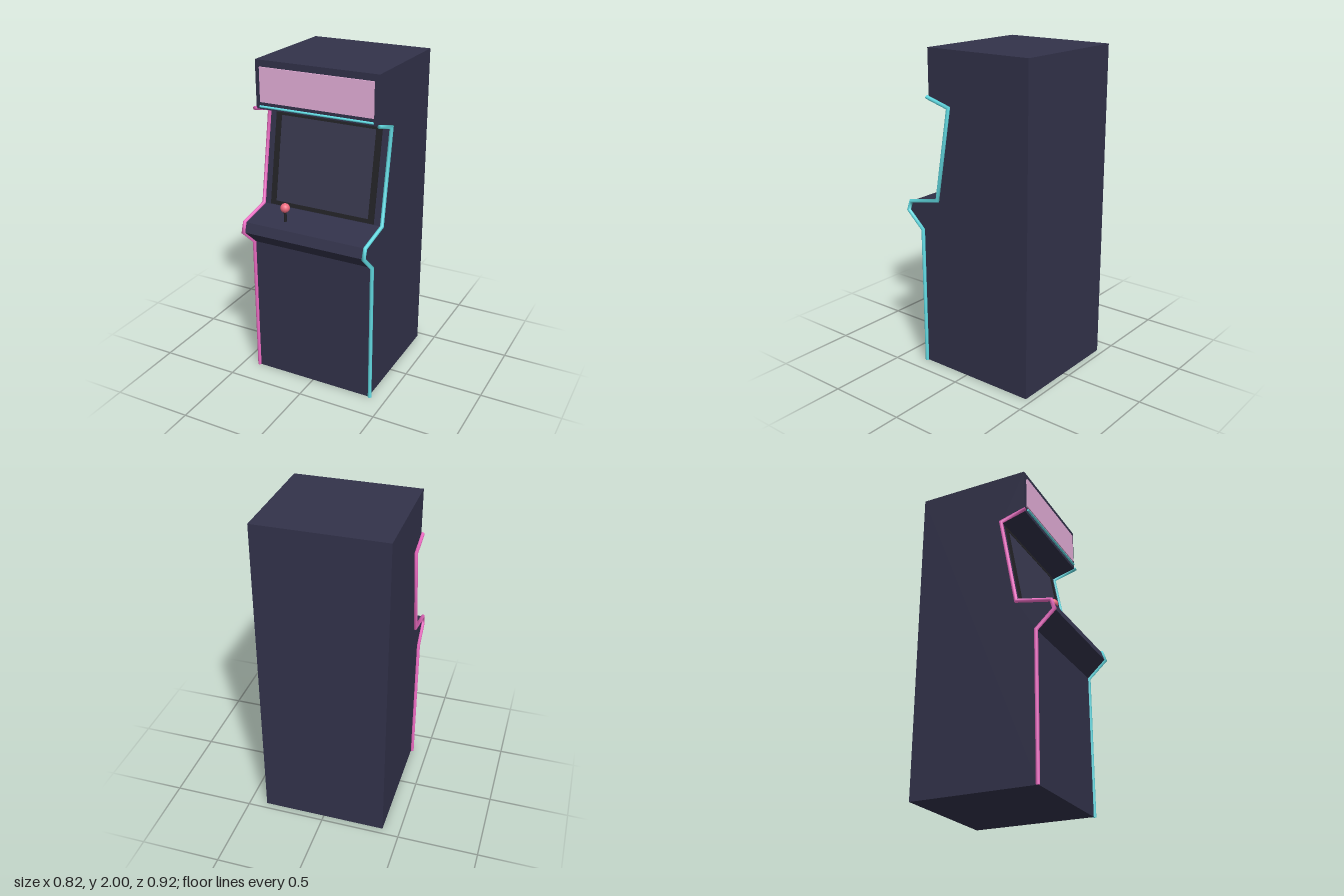
import * as THREE from 'three';

const BODY = 0x32324a, DARK = 0x222226, CYAN = 0x62dce4, PINK = 0xee6cc4;

// front edge of the cabinet side, as [z, y] from the floor up to the marquee
const FRONT = [
  [0.33, 0], [0.33, 0.89], [0.445, 0.995], [0.425, 1.055],
  [0.205, 1.1], [0.103, 1.67], [0.258, 1.712],
];
const HALF_WIDTH = 0.39;

function part(name, geometry, color, x = 0, y = 0, z = 0) {
  const mesh = new THREE.Mesh(geometry, new THREE.MeshStandardMaterial({ color }));
  mesh.name = name;
  mesh.position.set(x, y, z);
  return mesh;
}

// round strip swept along the front edge with mitred corners
function trimGeometry(points, radius, sides) {
  const pts = points.map(([z, y]) => new THREE.Vector2(z, y));
  const dir = (i) => pts[i + 1].clone().sub(pts[i]).normalize();
  const pos = [], idx = [];
  pts.forEach((p, i) => {
    const a = dir(Math.max(i - 1, 0)), b = dir(Math.min(i, pts.length - 2));
    const na = new THREE.Vector2(a.y, -a.x), nb = new THREE.Vector2(b.y, -b.x);
    const miter = na.clone().add(nb).normalize();
    miter.divideScalar(miter.dot(na));
    for (let j = 0; j < sides; j++) {
      const t = (j / sides) * Math.PI * 2, c = Math.cos(t) * radius;
      pos.push(Math.sin(t) * radius, p.y + miter.y * c, p.x + miter.x * c);
    }
  });
  for (let i = 0; i < pts.length - 1; i++) {
    for (let j = 0; j < sides; j++) {
      const k = (j + 1) % sides;
      const a = i * sides + j, b = i * sides + k, c = a + sides, d = b + sides;
      idx.push(a, b, c, b, d, c);
    }
  }
  // end caps
  const last = (pts.length - 1) * sides;
  for (let j = 1; j < sides - 1; j++) {
    idx.push(0, j + 1, j, last, last + j, last + j + 1);
  }
  const g = new THREE.BufferGeometry();
  g.setAttribute('position', new THREE.Float32BufferAttribute(pos, 3));
  g.setIndex(idx);
  g.computeVertexNormals();
  return g;
}

export function createModel() {
  const model = new THREE.Group();
  model.name = 'arcadeCabinet';

  // cabinet body, extruded across its width
  const outline = [[-0.46, 0], ...FRONT, [0.258, 2], [-0.46, 2]];
  const shape = new THREE.Shape(outline.map(([z, y]) => new THREE.Vector2(z, y)));
  const body = new THREE.ExtrudeGeometry(shape, { depth: HALF_WIDTH * 2, bevelEnabled: false });
  body.translate(0, 0, -HALF_WIDTH).rotateY(-Math.PI / 2);
  model.add(part('cabinetBody', body, BODY));

  // coloured edge strips on both sides
  const trim = trimGeometry(FRONT.slice(0, -1).concat([[0.268, 1.716]]), 0.0115, 12);
  model.add(part('leftTrim', trim, CYAN, 0.397));
  model.add(part('rightTrim', trim, PINK, -0.397));

  // tilted screen with its bezel frame
  const [z0, y0] = FRONT[4], [z1, y1] = FRONT[5];
  const screen = new THREE.Group();
  screen.name = 'screenAssembly';
  screen.position.set(0, (y0 + y1) / 2, (z0 + z1) / 2);
  screen.rotation.x = -Math.atan2(z0 - z1, y1 - y0);
  const frame = new THREE.Shape();
  frame.moveTo(-0.345, -0.285).lineTo(0.345, -0.285).lineTo(0.345, 0.285).lineTo(-0.345, 0.285);
  const hole = new THREE.Path();
  hole.moveTo(-0.308, -0.26).lineTo(-0.308, 0.264).lineTo(0.308, 0.264).lineTo(0.308, -0.26);
  frame.holes.push(hole);
  screen.add(part('screenBezel', new THREE.ExtrudeGeometry(frame, { depth: 0.007, bevelEnabled: false }), DARK));
  screen.add(part('screen', new THREE.BoxGeometry(0.616, 0.524, 0.008), 0x38384e, 0, 0.002, 0.001));
  model.add(screen);

  // marquee panel and the light bar below it
  model.add(part('marquee', new THREE.BoxGeometry(0.72, 0.205, 0.012), 0xe4aed8, 0, 1.858, 0.261));
  const bar = new THREE.CylinderGeometry(0.007, 0.007, 0.72, 12).rotateZ(Math.PI / 2);
  model.add(part('marqueeLightBar', bar, CYAN, 0, 1.73, 0.268));

  // joystick
  const stick = new THREE.Group();
  stick.name = 'joystick';
  stick.position.set(-0.167, 1.06, 0.34);
  stick.add(part('joystickShaft', new THREE.CylinderGeometry(0.009, 0.009, 0.09, 10), DARK, 0, 0.045, 0));
  stick.add(part('joystickBall', new THREE.SphereGeometry(0.029, 14, 10), 0xee6a7e, 0, 0.098, 0));
  model.add(stick);

  return model;
}
